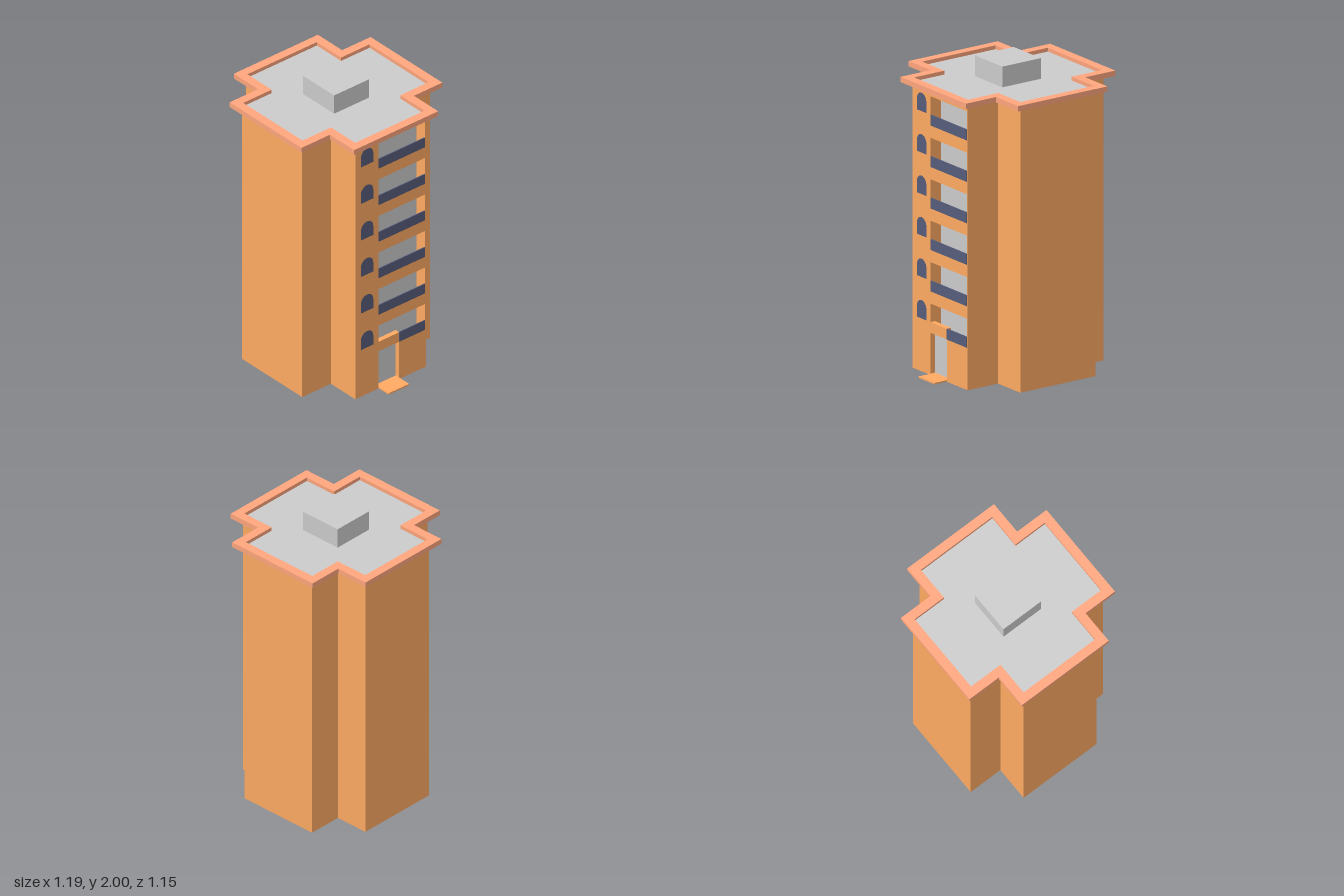
import * as THREE from 'three';

const material = (color) => new THREE.MeshStandardMaterial({ color, flatShading: true });
const wallMat = material(0xffaa62);
const rimMat = material(0xffa67d);
const blueMat = material(0x565d7a);
const greyMat = material(0xcccccc);

const CX = -0.022;       // centre of the tower in x
const FACE = 0.5;        // x of the balcony facade
const DEPTH = 0.083;     // depth of the balconies
const DOOR_DEPTH = 0.033;
const ARM = 0.2885;      // half width of each arm of the cross

function add(parent, name, geometry, mat) {
  const mesh = new THREE.Mesh(geometry, mat);
  mesh.name = name;
  parent.add(mesh);
  return mesh;
}

// Box given by its lower and upper corners
function box(parent, name, mat, [x0, y0, z0], [x1, y1, z1]) {
  const mesh = add(parent, name, new THREE.BoxGeometry(x1 - x0, y1 - y0, z1 - z0), mat);
  mesh.position.set((x0 + x1) / 2, (y0 + y1) / 2, (z0 + z1) / 2);
  return mesh;
}

const points = (list) => list.map(([x, y]) => new THREE.Vector2(x, y));

// Plus-shaped outline; the +x arm may be shorter
function cross(reach, arm, east = reach) {
  return points([
    [east, -arm], [east, arm], [arm, arm], [arm, reach], [-arm, reach], [-arm, arm],
    [-reach, arm], [-reach, -arm], [-arm, -arm], [-arm, -reach], [arm, -reach], [arm, -arm],
  ]);
}

// Plan outline raised from y0 to y1
function slab(parent, name, mat, outline, y0, y1, hole) {
  const shape = new THREE.Shape(outline);
  if (hole) shape.holes.push(new THREE.Path(hole));
  const geometry = new THREE.ExtrudeGeometry(shape, { depth: y1 - y0, bevelEnabled: false });
  geometry.rotateX(-Math.PI / 2);
  const mesh = add(parent, name, geometry, mat);
  mesh.position.set(CX, y0, 0);
  return mesh;
}

// Facade with balconies, door and windows; local x runs to -z, local z runs outwards
function createFacade() {
  const facade = new THREE.Group();
  facade.name = 'balconyFacade';
  facade.position.x = FACE - DEPTH;
  facade.rotation.y = Math.PI / 2;

  const left = -0.1, right = 0.28, doorRight = 0.07;
  const wall = new THREE.Shape(points([[-ARM, 0], [ARM, 0], [ARM, 1.86], [-ARM, 1.86]]));

  // The lowest opening joins the doorway
  wall.holes.push(new THREE.Path(points([
    [left, 0.01], [doorRight, 0.01], [doorRight, 0.275],
    [right, 0.275], [right, 0.465], [left, 0.465],
  ])));

  // Arched window outline, standing on y = 0
  const arch = new THREE.Shape();
  arch.moveTo(-0.05, 0);
  arch.lineTo(0.05, 0);
  arch.lineTo(0.05, 0.07);
  arch.absarc(0, 0.07, 0.05, 0, Math.PI, false);
  arch.closePath();

  for (let i = 0; i < 6; i++) {
    const floor = 0.275 + i * 0.27;
    const sill = floor + 0.07;
    const top = floor + 0.19;
    if (i > 0) {
      wall.holes.push(new THREE.Path(points([[left, floor], [right, floor], [right, top], [left, top]])));
    }
    box(facade, 'balconyBackWall', greyMat, [left, floor, -0.002], [right, top, 0.002]);
    box(facade, 'balconyParapet', blueMat,
      [i ? left : doorRight, floor, DEPTH - 0.006], [right, sill, DEPTH + 0.001]);
    const win = add(facade, 'archedWindow', new THREE.ShapeGeometry(arch, 12), blueMat);
    win.position.set(-0.193, sill, DEPTH + 0.0015);
  }

  add(facade, 'facadeWall', new THREE.ExtrudeGeometry(wall, { depth: DEPTH, bevelEnabled: false }), wallMat);

  // Entrance: recessed door and the lintel above it
  box(facade, 'door', greyMat, [left, 0.01, 0], [doorRight, 0.275, DEPTH - DOOR_DEPTH]);
  box(facade, 'doorLintel', wallMat, [left, 0.275, DEPTH - DOOR_DEPTH], [doorRight, 0.345, DEPTH]);
  return facade;
}

export function createModel() {
  const model = new THREE.Group();
  model.name = 'apartmentTower';

  // Tower body
  slab(model, 'towerBody', wallMat, cross(0.5225, ARM, FACE - DEPTH - CX), 0, 1.86);
  model.add(createFacade());

  // Entrance step
  box(model, 'entranceStep', wallMat, [FACE - DOOR_DEPTH, 0, -0.07], [0.595, 0.01, 0.097]);

  // Roof with overhanging rim and rooftop housing
  slab(model, 'roofRim', rimMat, cross(0.575, 0.343), 1.855, 1.89, cross(0.515, 0.283));
  slab(model, 'roofDeck', greyMat, cross(0.515, 0.283), 1.855, 1.865);
  box(model, 'rooftopHousing', greyMat, [CX - 0.148, 1.86, -0.142], [CX + 0.148, 2, 0.142]);

  return model;
}
